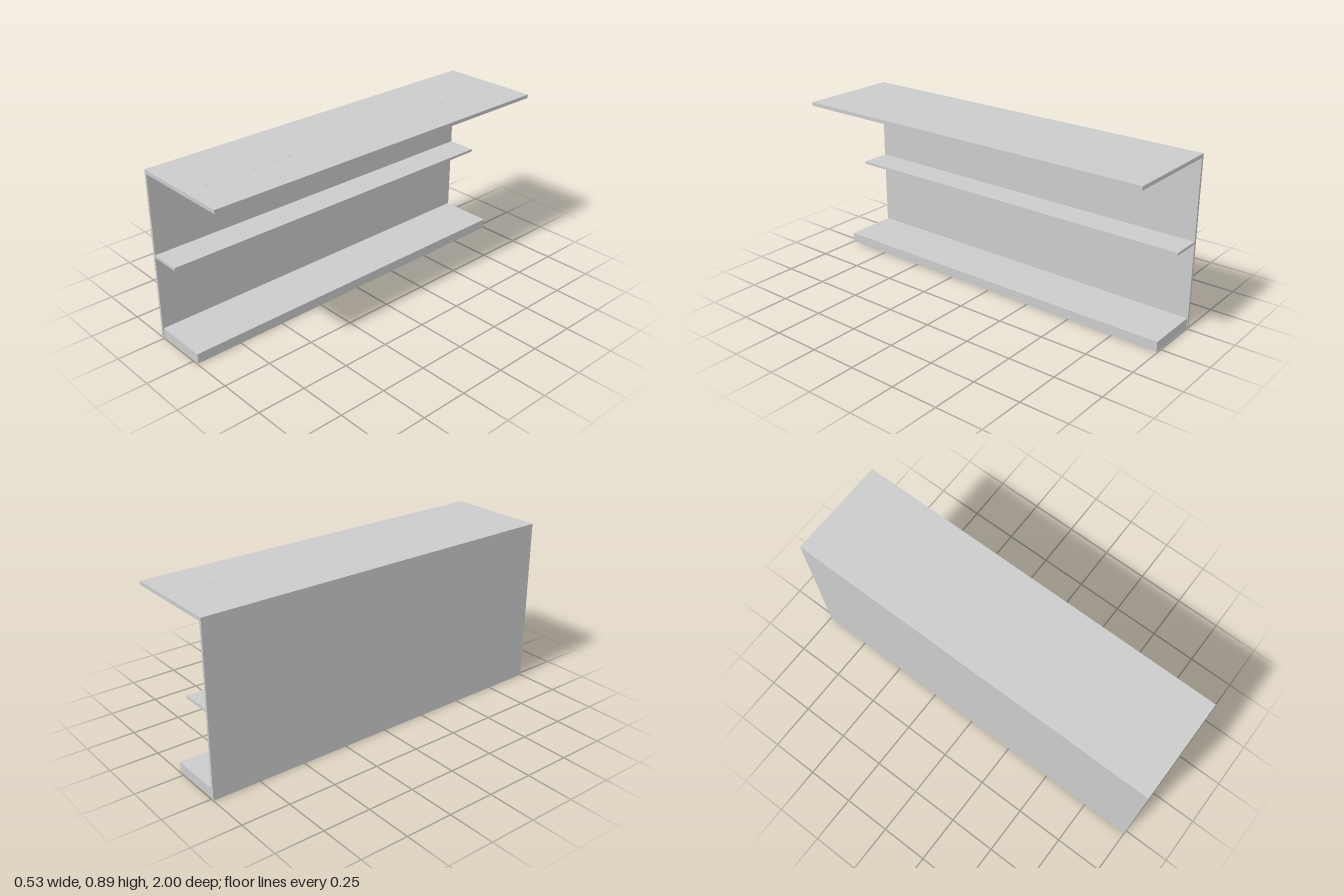
import * as THREE from 'three';

export function createModel() {
  const group = new THREE.Group();
  const material = new THREE.MeshStandardMaterial({ color: 0xcccccc });

  // Box given by its extents in x and y, running along z
  function board(name, x0, x1, y0, y1, length = 2) {
    const mesh = new THREE.Mesh(new THREE.BoxGeometry(x1 - x0, y1 - y0, length), material);
    mesh.position.set((x0 + x1) / 2, (y0 + y1) / 2, 0);
    mesh.name = name;
    group.add(mesh);
  }

  // Counter top and back panel form one continuous L-shaped shell
  const outline = [
    [-0.267, 0], [-0.253, 0], [-0.253, 0.867],
    [0.267, 0.867], [0.267, 0.886], [-0.267, 0.886],
  ].map(([x, y]) => new THREE.Vector2(x, y));
  const shellGeometry = new THREE.ExtrudeGeometry(new THREE.Shape(outline), {
    depth: 2, bevelEnabled: false,
  });
  shellGeometry.translate(0, 0, -1);
  const shell = new THREE.Mesh(shellGeometry, material);
  shell.name = 'topAndBackPanel';
  group.add(shell);

  // Hairline seam along the top
  board('topSeam', 0.048, 0.052, 0.88, 0.8863);

  // Narrow middle shelf and thick base shelf
  board('middleShelf', -0.253, -0.093, 0.443, 0.457);
  board('baseShelf', -0.253, 0.033, 0.002, 0.054, 1.992);

  return group;
}
